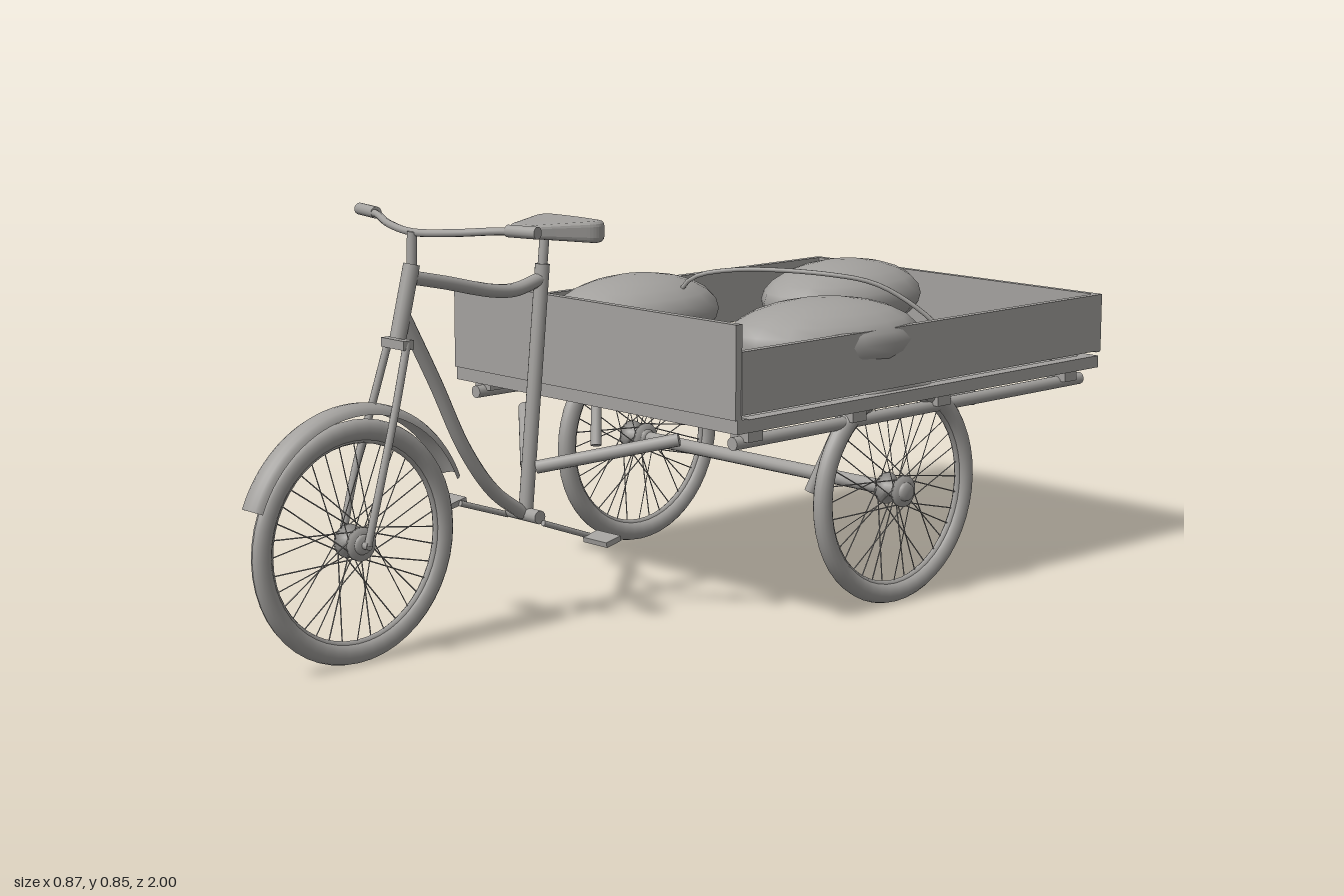
import * as THREE from 'three';
import { mergeGeometries } from 'three/addons/utils/BufferGeometryUtils.js';

const grey = new THREE.MeshStandardMaterial({ color: 0xa3a19e, side: THREE.DoubleSide });
grey.name = 'plain grey';

const V = (p) => new THREE.Vector3(...p);

function add(parent, name, geometry) {
  const mesh = new THREE.Mesh(geometry, grey);
  mesh.name = name;
  parent.add(mesh);
  return mesh;
}

// Box given by its limits on each axis
function slab(parent, name, x0, x1, y0, y1, z0, z1) {
  const g = new THREE.BoxGeometry(x1 - x0, y1 - y0, z1 - z0);
  g.translate((x0 + x1) / 2, (y0 + y1) / 2, (z0 + z1) / 2);
  return add(parent, name, g);
}

// Straight rod geometry between two points
function rodGeo(a, b, r, sides = 14, r2 = r) {
  const d = V(b).sub(V(a));
  const g = new THREE.CylinderGeometry(r2, r, d.length(), sides);
  g.applyQuaternion(new THREE.Quaternion().setFromUnitVectors(new THREE.Vector3(0, 1, 0), d.clone().normalize()));
  const m = V(a).add(V(b)).multiplyScalar(0.5);
  return g.translate(m.x, m.y, m.z);
}
const rod = (parent, name, a, b, r, sides) => add(parent, name, rodGeo(a, b, r, sides));

// Smooth bent tube through points
function bent(parent, name, pts, r, sides = 10) {
  const curve = new THREE.CatmullRomCurve3(pts.map(V));
  return add(parent, name, new THREE.TubeGeometry(curve, 28, r, sides));
}

// Lathe turned so that its axis runs along x
function turned(profile, segments, start = 0, length = Math.PI * 2) {
  const pts = profile.map(([r, x]) => new THREE.Vector2(r, x));
  return new THREE.LatheGeometry(pts, segments, start, length).rotateZ(Math.PI / 2);
}

function wheel(name, x, z, tyreHalf, hubHalf) {
  const g = new THREE.Group();
  g.name = name;
  g.position.set(x, 0.243, z);
  // Tyre with an oval section, and the rim inside it
  const oval = [];
  for (let i = 0; i <= 14; i++) {
    const a = (i / 14) * Math.PI * 2;
    oval.push([0.218 + 0.021 * Math.cos(a), tyreHalf * Math.sin(a)]);
  }
  add(g, 'tyre', turned(oval, 48));
  add(g, 'rim', new THREE.TorusGeometry(0.199, 0.007, 6, 48).rotateY(Math.PI / 2));
  // Hub with two flanges and end nuts
  const h = hubHalf, f = h * 0.6;
  add(g, 'hub', turned([
    [0, -h], [0.017, -h], [0.02, -h * 0.8], [0.02, -f - 0.005], [0.033, -f - 0.004], [0.033, -f + 0.004], [0.016, -f + 0.006],
    [0.016, f - 0.006], [0.033, f - 0.004], [0.033, f + 0.004], [0.02, f + 0.005], [0.02, h * 0.8], [0.017, h], [0, h],
  ], 20));
  // Crossed spokes, alternating between the flanges
  const spokes = [];
  for (let i = 0; i < 36; i++) {
    const a = (i / 36) * Math.PI * 2;
    const b = a + (i % 4 < 2 ? 0.9 : -0.9);
    const side = i % 2 ? f : -f;
    spokes.push(rodGeo([side, 0.03 * Math.sin(b), 0.03 * Math.cos(b)], [0, 0.2 * Math.sin(a), 0.2 * Math.cos(a)], 0.0013, 4));
  }
  add(g, 'spokes', mergeGeometries(spokes));
  return g;
}

function buildCart() {
  const g = new THREE.Group();
  g.name = 'cargoCart';
  // Floor, frame and side boards
  slab(g, 'floor', -0.42, 0.42, 0.432, 0.437, -0.975, 0.135);
  for (const s of [-1, 1]) {
    slab(g, 'baseRail', s * 0.41 - 0.015, s * 0.41 + 0.015, 0.431, 0.457, -0.98, 0.142);
    slab(g, 'sideBoard', s * 0.419 - 0.008, s * 0.419 + 0.008, 0.468, 0.593, -0.985, 0.132);
    rod(g, 'chassisTube', [s * 0.389, 0.405, -0.96], [s * 0.389, 0.405, 0.12], 0.0135);
    // Mounts between chassis tube and floor, and the axle struts
    for (const z of [-0.9, -0.48, -0.22, 0.08]) {
      slab(g, 'mount', s * 0.389 - 0.025, s * 0.389 + 0.025, 0.408, 0.432, z - 0.02, z + 0.02);
    }
    rod(g, 'axleStrut', [s * 0.368, 0.395, -0.21], [s * 0.325, 0.257, -0.17], 0.012);
    rod(g, 'drawbar', [s * 0.015, 0.328, 0.3], [s * 0.235, 0.391, 0.115], 0.0135);
    g.add(wheel(s < 0 ? 'rightRearWheel' : 'leftRearWheel', s * 0.389, -0.358, 0.0185, 0.038));
  }
  slab(g, 'frontRail', -0.425, 0.425, 0.431, 0.459, 0.112, 0.142);
  slab(g, 'backRail', -0.425, 0.425, 0.431, 0.457, -0.98, -0.95);
  slab(g, 'frontBoard', -0.425, 0.425, 0.459, 0.647, 0.13, 0.147);
  slab(g, 'backBoard', -0.425, 0.425, 0.465, 0.593, -0.987, -0.972);
  rod(g, 'rearAxle', [-0.385, 0.243, -0.358], [0.385, 0.243, -0.358], 0.015);
  // Rear plate and small lamp
  slab(g, 'rearPlate', -0.075, 0.075, 0.298, 0.404, -0.981, -0.979);
  slab(g, 'rearLamp', 0.285, 0.33, 0.46, 0.476, -0.998, -0.98);
  // Sacks lying in the box: x, z, half width, half length, turn
  const sacks = [[-0.08, -0.695, 0.147, 0.226, 0.1], [-0.223, -0.195, 0.148, 0.226, 0.14], [0.288, -0.24, 0.15, 0.224, -0.2]];
  for (const [x, z, w, l, turn] of sacks) {
    const sack = add(g, 'sack', new THREE.SphereGeometry(1, 16, 12));
    sack.scale.set(w, 0.083, l);
    sack.rotation.y = turn;
    sack.position.set(x, 0.564, z);
  }
  // Bent tool resting across the sacks, with its flat blade
  bent(g, 'toolHandle', [[-0.143, 0.6, -0.238], [-0.11, 0.643, -0.252], [-0.03, 0.666, -0.29], [0.17, 0.668, -0.385],
    [0.25, 0.648, -0.45], [0.32, 0.59, -0.515], [0.36, 0.535, -0.555]], 0.005, 8);
  const blade = add(g, 'toolBlade', new THREE.BoxGeometry(0.085, 0.035, 0.006));
  blade.position.set(0.365, 0.525, -0.56);
  blade.rotation.set(0, 0.75, -0.8);
  return g;
}

function buildBike() {
  const g = new THREE.Group();
  g.name = 'bicycle';
  g.add(wheel('frontWheel', 0, 0.748, 0.0155, 0.032));
  rod(g, 'frontAxle', [-0.046, 0.243, 0.748], [0.046, 0.243, 0.748], 0.008);

  // Mudguard: a curved band swept over the front wheel
  const band = [];
  for (let i = 0; i <= 8; i++) {
    const a = (i / 8) * Math.PI;
    band.push([0.25 + 0.02 * Math.sin(a), -0.028 * Math.cos(a)]);
  }
  const rad = Math.PI / 180;
  const guard = add(g, 'mudguard', turned(band, 32, 22 * rad, 136 * rad));
  guard.position.set(0, 0.243, 0.748);

  // Frame tubes
  rod(g, 'headTube', [0, 0.625, 0.636], [0, 0.765, 0.6], 0.0165);
  bent(g, 'topTube', [[0, 0.74, 0.603], [0, 0.722, 0.52], [0, 0.694, 0.4], [0, 0.69, 0.34], [0, 0.705, 0.275]], 0.014);
  bent(g, 'downTube', [[0, 0.665, 0.62], [0, 0.53, 0.547], [0, 0.385, 0.473], [0, 0.29, 0.4], [0, 0.235, 0.325]], 0.014);
  rod(g, 'seatTube', [0, 0.225, 0.318], [0, 0.735, 0.268], 0.015);
  rod(g, 'seatPost', [0, 0.73, 0.268], [0, 0.79, 0.262], 0.01);
  rod(g, 'bottomBracket', [-0.045, 0.232, 0.318], [0.045, 0.232, 0.318], 0.014);

  // Fork
  slab(g, 'forkCrown', -0.035, 0.035, 0.607, 0.625, 0.625, 0.65);
  for (const s of [-1, 1]) {
    bent(g, 'forkBlade', [[s * 0.028, 0.62, 0.636], [s * 0.036, 0.5, 0.672], [s * 0.042, 0.38, 0.71], [s * 0.041, 0.243, 0.748]], 0.008);
  }

  // Handlebar with grips
  rod(g, 'stem', [0, 0.76, 0.6], [0, 0.828, 0.598], 0.01);
  const bar = [];
  for (const [x, y, z] of [[-0.265, 0.842, 0.516], [-0.19, 0.84, 0.535], [-0.1, 0.832, 0.575], [0, 0.826, 0.594]]) bar.push([x, y, z]);
  bar.push(...bar.slice(0, 3).reverse().map(([x, y, z]) => [-x, y, z]));
  bent(g, 'handlebar', bar, 0.0075);
  for (const s of [-1, 1]) rod(g, 'grip', [s * 0.2, 0.841, 0.528], [s * 0.27, 0.842, 0.515], 0.012);

  // Saddle: wide at the back, narrow at the nose
  const outline = new THREE.Shape();
  outline.moveTo(-0.075, 0.182);
  outline.quadraticCurveTo(0, 0.172, 0.075, 0.182);
  outline.quadraticCurveTo(0.088, 0.195, 0.075, 0.22);
  outline.quadraticCurveTo(0.05, 0.27, 0.03, 0.312);
  outline.quadraticCurveTo(0, 0.326, -0.03, 0.312);
  outline.quadraticCurveTo(-0.05, 0.27, -0.075, 0.22);
  outline.quadraticCurveTo(-0.088, 0.195, -0.075, 0.182);
  const seat = new THREE.ExtrudeGeometry(outline, { depth: 0.022, bevelThickness: 0.011, bevelSize: 0.009, bevelSegments: 3, curveSegments: 8 });
  seat.rotateX(Math.PI / 2).translate(0, 0.811, 0);
  // Thin the nose by lifting its underside
  const p = seat.attributes.position;
  for (let i = 0; i < p.count; i++) {
    const t = THREE.MathUtils.clamp((p.getZ(i) - 0.2) / 0.12, 0, 1);
    p.setY(i, 0.822 + (p.getY(i) - 0.822) * (1 - 0.4 * t) - 0.004 * t);
  }
  seat.computeVertexNormals();
  add(g, 'saddle', seat);

  // Cranks and pedals, one forward and up, one back and down
  for (const s of [-1, 1]) {
    const dz = -s * 0.125, dy = -s * 0.034 - (s > 0 ? 0.012 : 0.008) * s;
    const x = s * 0.054, cy = 0.222;
    rod(g, 'crank', [x, cy, 0.318], [x, cy + dy, 0.318 + dz], 0.006, 10);
    const pedal = add(g, 'pedal', new THREE.BoxGeometry(0.07, 0.011, 0.04));
    pedal.position.set(x + s * 0.038, cy + dy, 0.318 + dz);
    pedal.rotation.x = 0.22;
  }
  return g;
}

export function createModel() {
  const model = new THREE.Group();
  model.name = 'cargoTricycle';
  const body = new THREE.Group();
  body.name = 'tricycle';
  body.position.set(-0.01, -0.004, 0);
  body.add(buildCart(), buildBike());
  model.add(body);
  return model;
}
